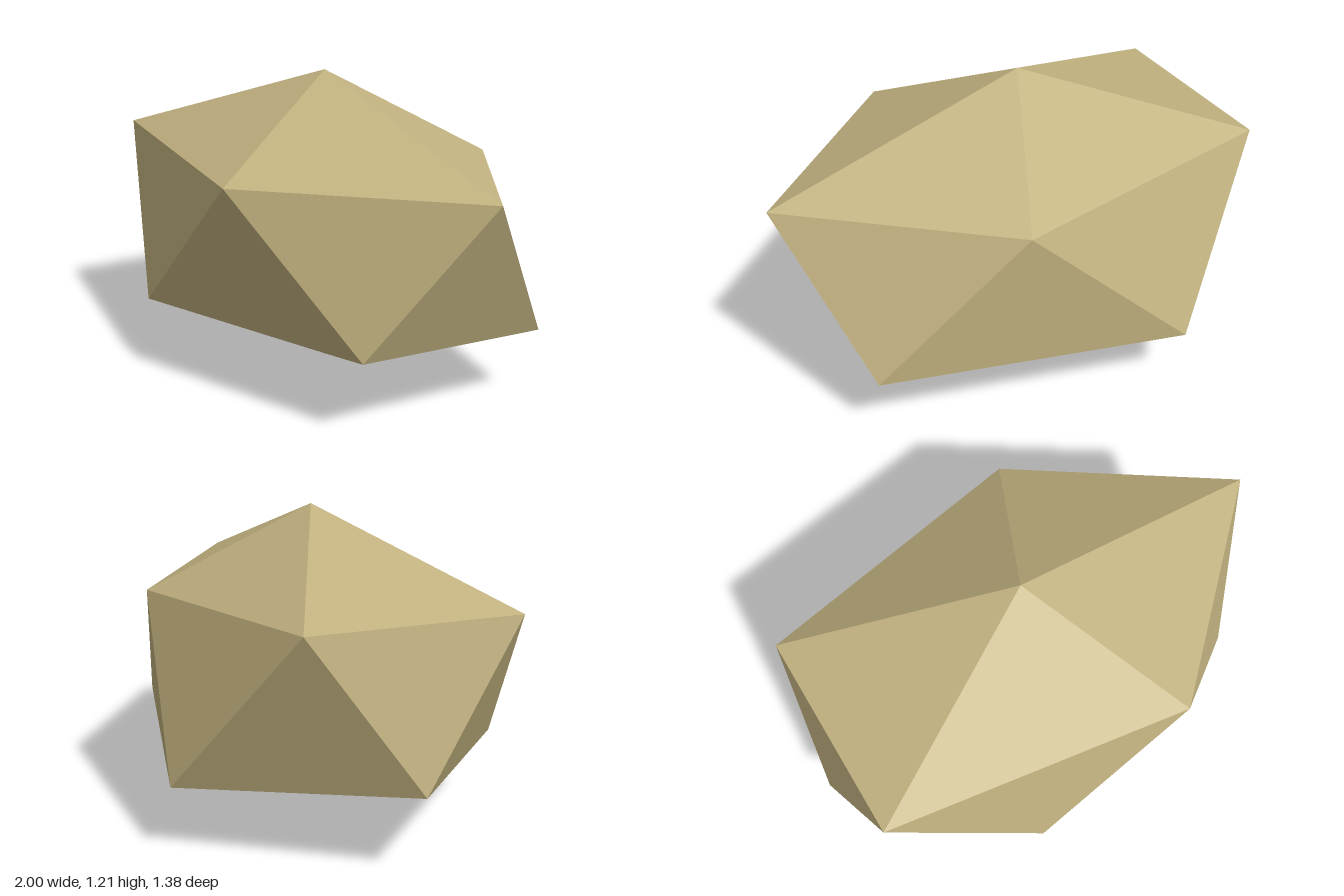
import * as THREE from 'three';

// A stretched, slightly uneven twenty-sided stone: two poles and two rings of five corners
export function createModel() {
  const model = new THREE.Group();
  model.name = 'stone';

  const sand = new THREE.MeshStandardMaterial({ color: 0xc2b280 });
  sand.name = 'sand';

  const top = [-0.05, 1.21, 0.03];
  const bottom = [-0.05, 0, 0.03];
  // Both rings run from +x towards +z; each lower corner sits between two upper ones
  const upper = [
    [1, 0.895, 0.03], [0.27, 0.895, 0.685], [-0.92, 0.905, 0.45],
    [-0.89, 0.9, -0.385], [0.235, 0.86, -0.56],
  ];
  const lower = [
    [0.72, 0.315, 0.4], [-0.375, 0.288, 0.68], [-1, 0.315, 0.03],
    [-0.4, 0.26, -0.69], [0.785, 0.288, -0.38],
  ];

  // Cap, zigzag band and base faces, with unshared corners for flat facets
  const corners = [];
  for (let i = 0; i < 5; i++) {
    const j = (i + 1) % 5;
    corners.push(
      top, upper[j], upper[i],
      upper[i], upper[j], lower[i],
      lower[i], upper[j], lower[j],
      lower[i], lower[j], bottom,
    );
  }
  const geometry = new THREE.BufferGeometry();
  geometry.setAttribute('position', new THREE.Float32BufferAttribute(corners.flat(), 3));
  geometry.computeVertexNormals();

  const body = new THREE.Mesh(geometry, sand);
  body.name = 'facetedBody';
  model.add(body);
  return model;
}
